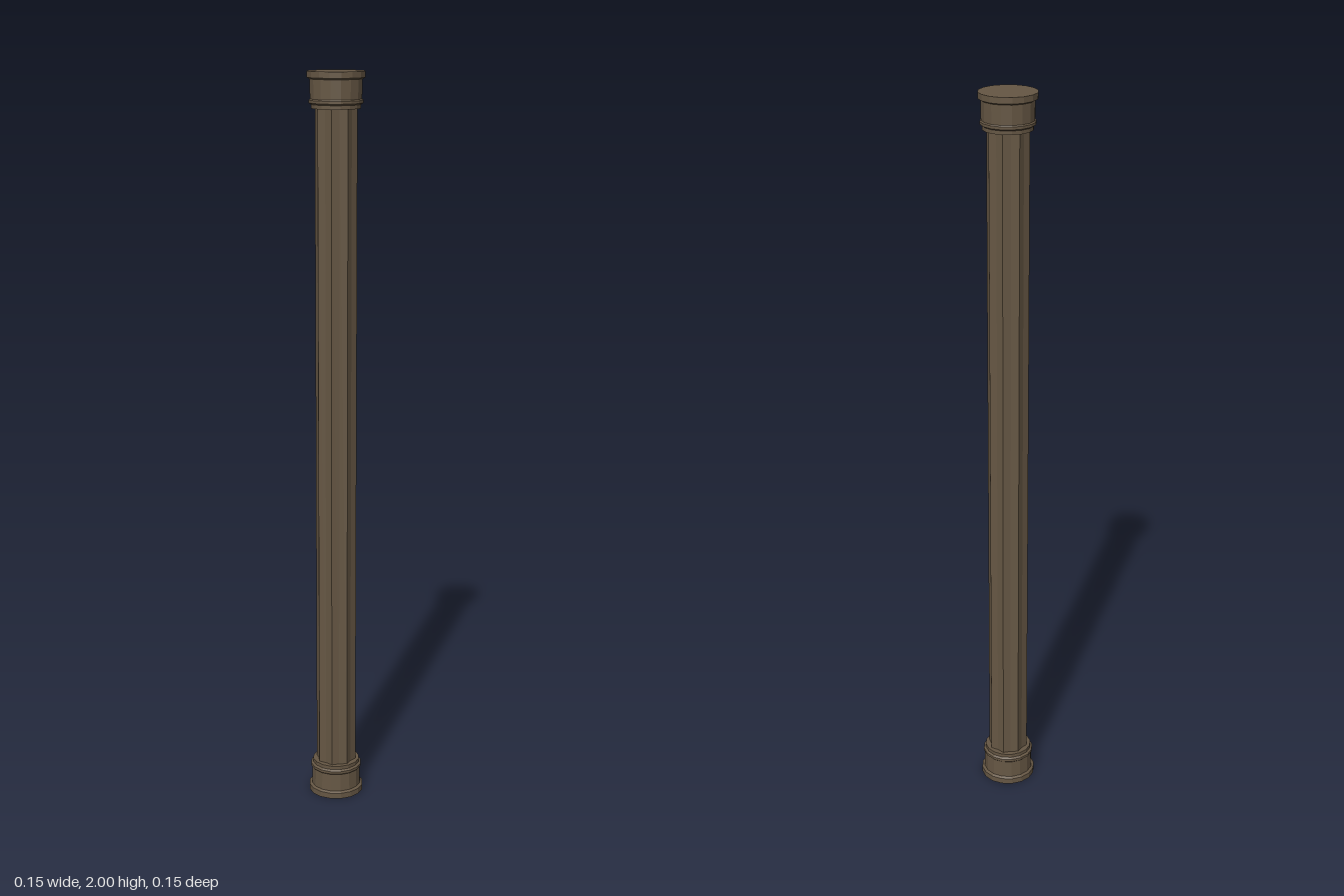
import * as THREE from 'three';

export function createModel() {
  const column = new THREE.Group();
  column.name = 'column';
  const stone = new THREE.MeshStandardMaterial({ color: 0x665744, flatShading: true });
  stone.name = 'brown stone';

  // Shaft: eight ridges with shallow grooves between them
  const outline = new THREE.Shape();
  for (let i = 0; i < 16; i++) {
    const angle = (i * Math.PI) / 8;
    const radius = i % 2 ? 0.056 : 0.049;
    const x = radius * Math.cos(angle), y = radius * Math.sin(angle);
    if (i === 0) outline.moveTo(x, y);
    else outline.lineTo(x, y);
  }
  outline.closePath();
  const shaftGeometry = new THREE.ExtrudeGeometry(outline, { depth: 1.84, bevelEnabled: false });
  shaftGeometry.rotateX(-Math.PI / 2).translate(0, 0.08, 0);
  const shaft = new THREE.Mesh(shaftGeometry, stone);
  shaft.name = 'shaft';
  column.add(shaft);

  // Stepped moulding, measured from the outer end: slab, drum, ring, collar
  const steps = [
    [0, 0], [0.076, 0], [0.076, 0.016], [0.069, 0.02], [0.068, 0.07],
    [0.071, 0.073], [0.071, 0.08], [0.065, 0.084], [0.065, 0.094], [0, 0.094],
  ];
  const profile = steps.map(([r, y]) => new THREE.Vector2(r, y));
  const endGeometry = new THREE.LatheGeometry(profile, 16);

  const base = new THREE.Mesh(endGeometry, stone);
  base.name = 'base';
  const capital = new THREE.Mesh(endGeometry, stone);
  capital.name = 'capital';
  capital.rotation.x = Math.PI;
  capital.position.y = 2;
  column.add(base, capital);

  return column;
}
